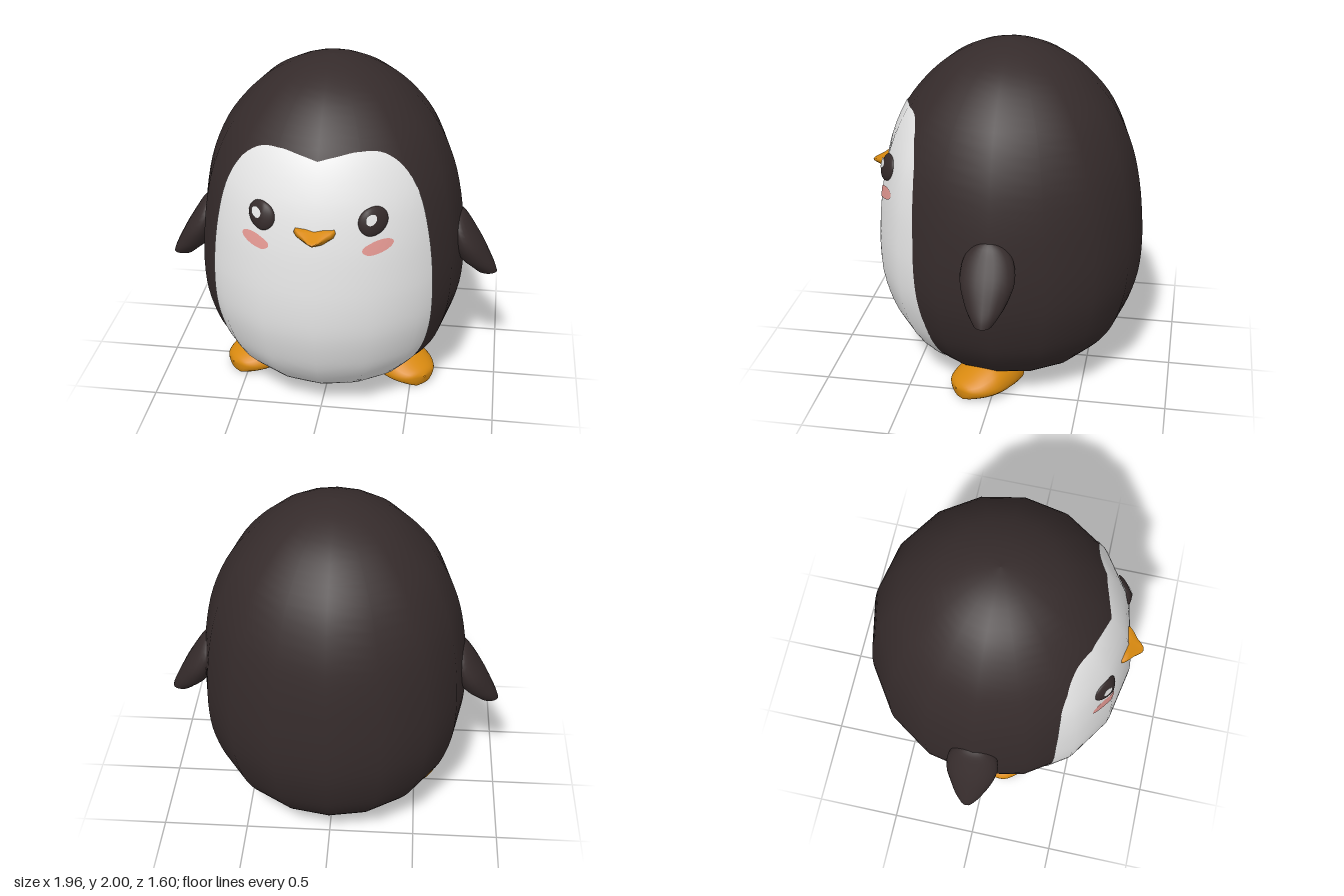
import * as THREE from 'three';

const flat = (name, color, side = THREE.FrontSide) => {
  const m = new THREE.MeshStandardMaterial({ color, side });
  m.name = name;
  return m;
};
const V2 = (p) => new THREE.Vector2(p[0], p[1]);
const BODY_Z = -0.025;
const SIDES = 16;

// Body profile: radius, height
const profile = [
  new THREE.Vector2(0, 0.06),
  ...new THREE.SplineCurve([
    [0.28, 0.065], [0.46, 0.125], [0.56, 0.2], [0.65, 0.31], [0.71, 0.43], [0.76, 0.61],
    [0.775, 0.8], [0.766, 1.0], [0.742, 1.2], [0.695, 1.4], [0.607, 1.6], [0.495, 1.75],
    [0.365, 1.87], [0.22, 1.95], [0.1, 1.987], [0, 2.0],
  ].map(V2)).getPoints(45),
];
profile[profile.length - 1].x = 0;

function radiusAt(y) {
  for (let i = 1; i < profile.length; i++) {
    const a = profile[i - 1], b = profile[i];
    if (y <= b.y) return THREE.MathUtils.lerp(a.x, b.x, Math.max(0, (y - a.y) / (b.y - a.y)));
  }
  return 0;
}

// Front point and normal of the many-sided body at x, y
function onBody(x, y) {
  const r = radiusAt(y), step = (Math.PI * 2) / SIDES, ax = Math.min(Math.abs(x), r);
  const k = Math.min(Math.floor(Math.asin(ax / r) / step), SIDES / 4 - 1);
  const x0 = r * Math.sin(k * step), x1 = r * Math.sin((k + 1) * step);
  const z0 = r * Math.cos(k * step), z1 = r * Math.cos((k + 1) * step);
  const z = THREE.MathUtils.lerp(z0, z1, (ax - x0) / (x1 - x0));
  const slope = (radiusAt(y + 0.04) - radiusAt(y - 0.02)) / 0.06;
  const normal = new THREE.Vector3(x, -r * slope, Math.sqrt(Math.max(0.001, r * r - x * x))).normalize();
  return { point: new THREE.Vector3(x, y, z + BODY_Z), normal };
}

// Thin patch laid over the body: outline shrunk in rings towards its centre
function patch(outline, centre, lift, dome = 0, rings = 8) {
  const pos = [], nor = [], idx = [], n = outline.length;
  const add = (x, y, s) => {
    const { point, normal } = onBody(x, y);
    point.addScaledVector(normal, lift + dome * Math.sqrt(1 - s * s));
    pos.push(...point.toArray());
    nor.push(...normal.toArray());
  };
  add(centre.x, centre.y, 0);
  for (let i = 1; i <= rings; i++) {
    const s = dome ? Math.sin((i / rings) * Math.PI / 2) : i / rings;
    for (const p of outline) {
      add(centre.x + (p.x - centre.x) * s, centre.y + (p.y - centre.y) * s, s);
    }
  }
  for (let j = 0; j < n; j++) {
    const k = (j + 1) % n;
    idx.push(0, 1 + j, 1 + k);
    for (let i = 0; i < rings - 1; i++) {
      const a = 1 + i * n, b = a + n;
      idx.push(a + j, b + j, b + k, a + j, b + k, a + k);
    }
  }
  const g = new THREE.BufferGeometry();
  g.setAttribute('position', new THREE.Float32BufferAttribute(pos, 3));
  g.setAttribute('normal', new THREE.Float32BufferAttribute(nor, 3));
  g.setIndex(idx);
  if (dome) g.computeVertexNormals();
  return g;
}

function oval(cx, cy, rx, ry, tilt = 0) {
  return new THREE.EllipseCurve(cx, cy, rx, ry, 0, Math.PI * 2, false, tilt).getPoints(32).slice(0, -1);
}

// Skin over cross-sections; closed sections get flat end caps
function loft(rings, closed = true) {
  const n = rings[0].length, pos = rings.flat(2), idx = [];
  for (let i = 0; i < rings.length - 1; i++) {
    for (let j = 0; j < (closed ? n : n - 1); j++) {
      const a = i * n + j, b = i * n + ((j + 1) % n);
      idx.push(a, b, a + n, b, b + n, a + n);
    }
  }
  if (closed) {
    [rings[0], rings[rings.length - 1]].forEach((ring, end) => {
      const base = pos.length / 3;
      pos.push(...ring.flat());
      for (let j = 1; j < n - 1; j++) {
        idx.push(base, base + (end ? j : j + 1), base + (end ? j + 1 : j));
      }
    });
  }
  const g = new THREE.BufferGeometry();
  g.setAttribute('position', new THREE.Float32BufferAttribute(pos, 3));
  g.setIndex(idx);
  g.computeVertexNormals();
  return g;
}

// Smoothly resample a table of section sizes
function resample(rows, count) {
  const curves = rows[0].map((_, c) => new THREE.SplineCurve(rows.map((r, i) => new THREE.Vector2(i, r[c]))));
  return Array.from({ length: count + 1 }, (_, i) => curves.map((c) => c.getPoint(i / count).y));
}

export function createModel() {
  const dark = flat('charcoal', 0x352b2b);
  const white = flat('white', 0xf4f4f4, THREE.DoubleSide);
  const orange = flat('orange', 0xd8890f, THREE.DoubleSide);
  const pink = flat('blush pink', 0xeb9d97);
  const model = new THREE.Group();
  const add = (name, geometry, material) => {
    const mesh = new THREE.Mesh(geometry, material);
    mesh.name = name;
    model.add(mesh);
    return mesh;
  };

  add('body', new THREE.LatheGeometry(profile, SIDES), dark).position.z = BODY_Z;

  // White face and belly with a softly notched brow
  const half = [
    [0.1, 1.625], [0.22, 1.645], [0.34, 1.62], [0.45, 1.53], [0.53, 1.38], [0.58, 1.18], [0.61, 0.95],
    [0.617, 0.7], [0.597, 0.5], [0.55, 0.34], [0.47, 0.22], [0.38, 0.155], [0.22, 0.112],
  ];
  const loop = [
    [0, 1.605], ...half.map(([x, y]) => [-x, y]), [0, 0.09], ...half.slice().reverse(), [0, 1.605],
  ];
  const belly = new THREE.SplineCurve(loop.map(V2)).getPoints(112).slice(0, -1);
  add('faceAndBelly', patch(belly, new THREE.Vector2(0, 0.85), 0.005, 0, 28), white);

  // Eyes, highlights and cheeks
  for (const s of [1, -1]) {
    const side = s > 0 ? 'left' : 'right';
    const ex = 0.295 * s + 0.004, hx = ex - 0.016;
    add(side + 'Eye', patch(oval(ex, 1.303, 0.075, 0.077), new THREE.Vector2(ex, 1.303), 0.008, 0.025), dark);
    add(side + 'EyeHighlight', patch(oval(hx, 1.318, 0.027, 0.029), new THREE.Vector2(hx, 1.318), 0.036), white);
    add(side + 'Cheek', patch(oval(0.328 * s, 1.16, 0.08, 0.037, 0.2 * s), new THREE.Vector2(0.328 * s, 1.16), 0.009), pink);
  }

  // Beak: rounded triangle tapering to a tip
  const beakHalf = [[0.05, 1.185], [0.1, 1.225], [0.112, 1.25], [0.105, 1.268], [0.05, 1.268]];
  const beakLoop = [[0, 1.168], ...beakHalf, [0, 1.264], ...beakHalf.slice().reverse().map(([x, y]) => [-x, y])];
  const beakRings = [[0.64, 1], [0.7, 1], [0.725, 0.8], [0.75, 0.52], [0.78, 0.3], [0.795, 0.15], [0.8, 0.02]];
  add('beak', loft(beakRings.map(([z, s]) =>
    beakLoop.map(([x, y]) => [x * s, 1.222 + (y - 1.222) * s, z]))), orange);

  // Flippers: height, inner x, outer x, half depth
  const flipperRows = resample([
    [0.7, 0.86, 0.978, 0.05], [0.74, 0.815, 0.965, 0.082], [0.8, 0.75, 0.937, 0.118], [0.9, 0.7, 0.885, 0.15],
    [1.0, 0.67, 0.825, 0.135], [1.07, 0.68, 0.78, 0.085], [1.1, 0.71, 0.75, 0.03],
  ], 18);
  const flipper = loft(flipperRows.map(([y, x0, x1, d]) => Array.from({ length: 20 }, (_, j) => {
    const a = (j / 20) * Math.PI * 2;
    return [(x0 + x1) / 2 + ((x1 - x0) / 2) * Math.sin(a), y, -0.025 + d * Math.cos(a)];
  })));

  // Feet: hollow shells with an opening below that narrows from heel to toe
  // Length, half width, height, half angle of the opening
  const footRows = resample([
    [-0.2, 0.09, 0.155, 0.7], [-0.12, 0.13, 0.188, 0.65], [0, 0.165, 0.195, 0.5], [0.08, 0.163, 0.168, 0.25],
    [0.15, 0.135, 0.13, 0], [0.2, 0.085, 0.1, 0], [0.222, 0.004, 0.07, 0],
  ], 24);
  const foot = loft(footRows.map(([z, w, h, gap]) => Array.from({ length: 25 }, (_, j) => {
    const open = Math.max(0, gap);
    const a = -Math.PI / 2 + open + (j / 24) * (Math.PI - open) * 2;
    const up = Math.sin(a), drop = 0.072 * Math.min(1, w / 0.08);
    return [w * Math.cos(a), Math.max(0, 0.065 + up * (up > 0 ? h - 0.065 : drop)), z];
  })), false);

  for (const s of [1, -1]) {
    const side = s > 0 ? 'left' : 'right';
    add(side + 'Flipper', flipper, dark).scale.x = s;
    const mesh = add(side + 'Foot', foot, orange);
    mesh.position.set(0.43 * s, 0, 0.045);
    mesh.rotation.y = (Math.PI / 4) * s;
    mesh.scale.x = s;
  }
  return model;
}
